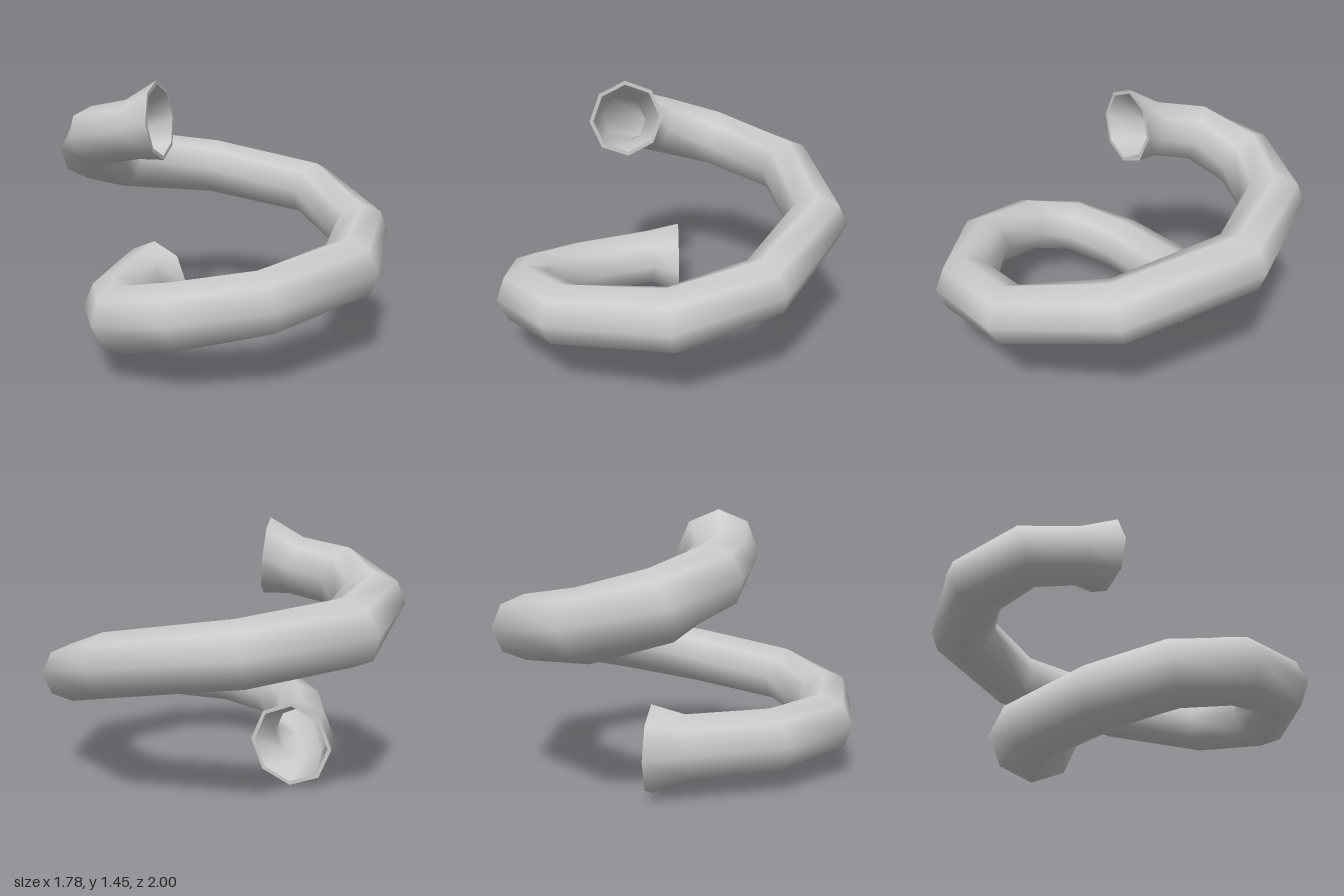
import * as THREE from 'three';

const SIDES = 8;
const WALL = 0.022;
const UP = new THREE.Vector3(0, 1, 0);

// Centre line of the coil, lower mouth to upper mouth: x, y, z, radius
const PATH = [
  [-0.37, 0.245, -0.38, 0.235],
  [-0.50, 0.26, -0.25, 0.175],
  [-0.67, 0.27, 0.17, 0.17],
  [-0.68, 0.31, 0.54, 0.17],
  [-0.45, 0.38, 0.76, 0.17],
  [-0.05, 0.44, 0.84, 0.165],
  [0.485, 0.51, 0.60, 0.17],
  [0.725, 0.61, 0.165, 0.16],
  [0.635, 0.76, -0.41, 0.165],
  [0.105, 0.86, -0.84, 0.17],
  [-0.465, 0.93, -0.83, 0.18],
  [-0.725, 1.03, -0.57, 0.18],
  [-0.71, 1.14, -0.27, 0.17],
  [-0.53, 1.19, -0.06, 0.165],
  [-0.39, 1.245, 0.03, 0.215],
];

// Facing of the two mouths, along the direction of travel
const START_DIR = new THREE.Vector3(-0.72, 0, 0.69);
const END_DIR = new THREE.Vector3(0.86, 0.08, 0.5);

// One ring per path point, set square to the mitre direction
function makeRings(inset) {
  const pts = PATH.map(([x, y, z]) => new THREE.Vector3(x, y, z));
  const last = pts.length - 1;
  return pts.map((p, i) => {
    let t;
    if (i === 0) t = START_DIR.clone().normalize();
    else if (i === last) t = END_DIR.clone().normalize();
    else {
      const a = p.clone().sub(pts[i - 1]).normalize();
      const b = pts[i + 1].clone().sub(p).normalize();
      t = a.add(b).normalize();
    }
    const n = new THREE.Vector3().crossVectors(t, UP).normalize();
    const v = new THREE.Vector3().crossVectors(n, t);
    const r = PATH[i][3] - inset;
    return Array.from({ length: SIDES }, (_, j) => {
      const ang = (j / SIDES) * Math.PI * 2;
      return p.clone()
        .addScaledVector(n, r * Math.cos(ang))
        .addScaledVector(v, r * Math.sin(ang));
    });
  });
}

// Skin a row of closed rings
function loft(name, rings, material) {
  const index = [];
  for (let i = 0; i < rings.length - 1; i++) {
    for (let j = 0; j < SIDES; j++) {
      const k = (j + 1) % SIDES;
      const a = i * SIDES + j, b = i * SIDES + k;
      const c = a + SIDES, d = b + SIDES;
      index.push(a, c, b, b, c, d);
    }
  }
  const geometry = new THREE.BufferGeometry().setFromPoints(rings.flat());
  geometry.setIndex(index);
  geometry.computeVertexNormals();
  const mesh = new THREE.Mesh(geometry, material);
  mesh.name = name;
  return mesh;
}

export function createModel() {
  const group = new THREE.Group();
  group.name = 'coiledPipe';
  const material = new THREE.MeshStandardMaterial({ color: 0xcccccc });
  const outer = makeRings(0);
  const inner = makeRings(WALL);
  const last = outer.length - 1;

  // Outer skin and hollow bore
  group.add(loft('pipeOuter', outer, material));
  group.add(loft('pipeBore', [...inner].reverse(), material));

  // Flat lips closing the wall at both flared mouths
  group.add(loft('lowerLip', [inner[0], outer[0]], material));
  group.add(loft('upperLip', [outer[last], inner[last]], material));
  return group;
}
